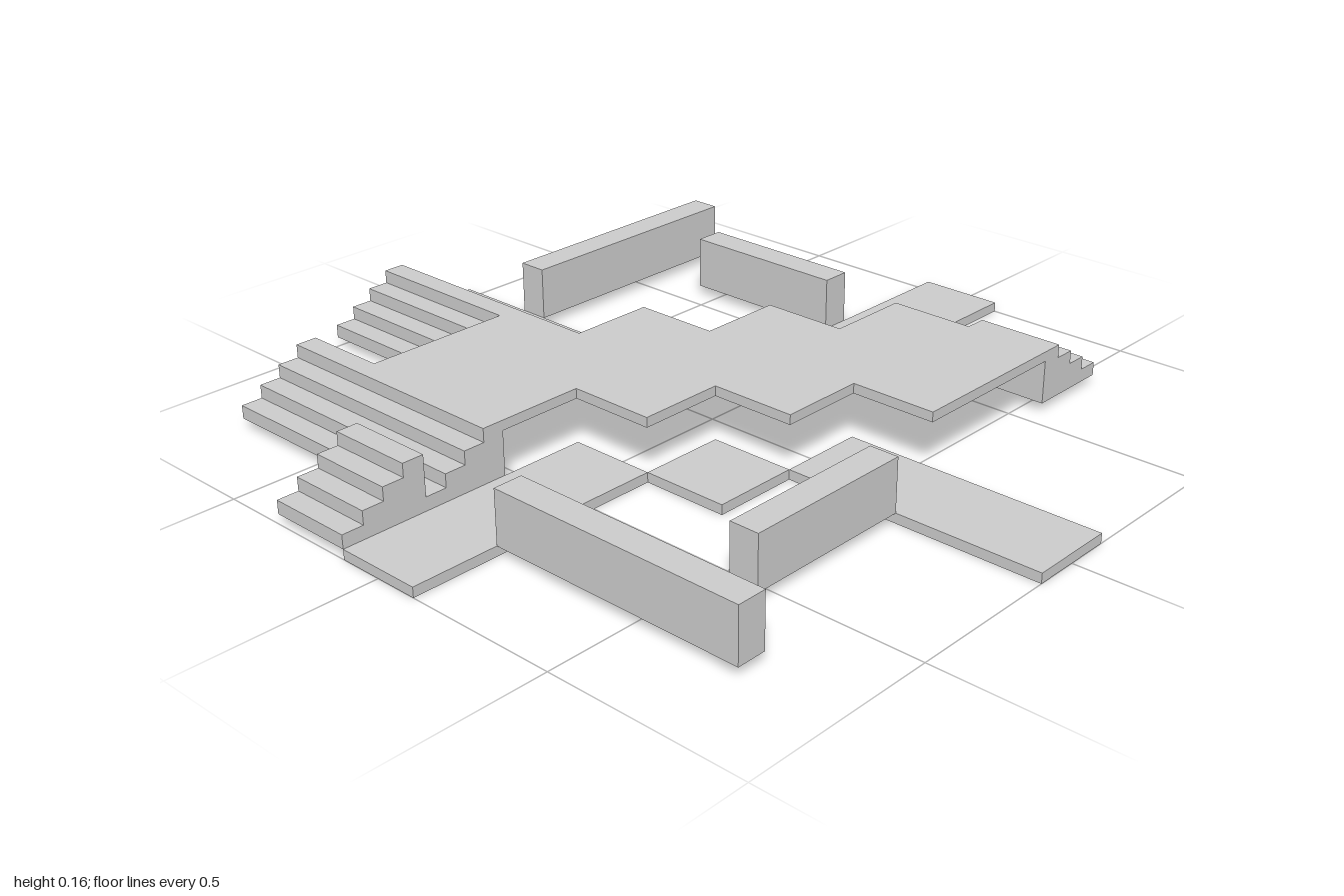
import * as THREE from 'three';

const U = 2 / 9;            // grid cell
const SLAB = 0.025;         // floor thickness
const TOP = 0.16;           // overall height
const WALL = 0.075;         // wall thickness

const material = new THREE.MeshStandardMaterial({ color: 0xcccccc, flatShading: true });
const shellMaterial = new THREE.MeshStandardMaterial({ color: 0xcccccc, flatShading: true, side: THREE.DoubleSide });

export function createModel() {
  const model = new THREE.Group();
  model.name = 'steppedPlatform';

  function add(name, geometry, mat = material) {
    const mesh = new THREE.Mesh(geometry, mat);
    mesh.name = name;
    model.add(mesh);
    return mesh;
  }

  function box(name, x0, x1, y0, y1, z0, z1) {
    add(name, new THREE.BoxGeometry(x1 - x0, y1 - y0, z1 - z0))
      .position.set((x0 + x1) / 2, (y0 + y1) / 2, (z0 + z1) / 2);
  }

  // Lower floor: four arms and two corner tiles, in cell units
  const floors = [
    ['leftFloorArm', 1.5, 4.5, -0.5, 0.5],
    ['rightFloorArm', -4.5, -1.5, -0.5, 0.5],
    ['frontFloorArm', -0.5, 0.5, 1.5, 4.5],
    ['backFloorArm', -0.5, 0.5, -4.5, -1.5],
    ['backCornerTile', 0.5, 1.5, -1.5, -0.5],
    ['frontCornerTile', -1.5, -0.5, 0.5, 1.5],
  ];
  for (const [name, x0, x1, z0, z1] of floors) box(name, x0 * U, x1 * U, 0, SLAB, z0 * U, z1 * U);

  // Raised diagonal platform with a zigzag outline (x, z in cells)
  const half = [[-2.5, -2.5], [-0.5, -2.5], [-0.5, -1.5], [0.5, -1.5], [0.5, -0.5], [1.5, -0.5], [1.5, 0.5], [2.5, 0.5]];
  const outline = [...half, ...half.map(([x, z]) => [-x, -z])];
  const shape = new THREE.Shape(outline.map(([x, z]) => new THREE.Vector2(x * U, -z * U)));
  const deck = new THREE.ExtrudeGeometry(shape, { depth: SLAB, bevelEnabled: false });
  deck.rotateX(-Math.PI / 2);
  deck.translate(0, TOP - SLAB, 0);
  add('raisedPlatform', deck);

  // Free-standing walls
  box('backWall', 0.5 * U, 3.5 * U, SLAB, TOP, -3.5 * U, -3.5 * U + WALL);
  box('leftWall', 2.5 * U, 2.5 * U + WALL, SLAB, TOP, -2.5 * U, -0.5 * U);
  box('rightWall', -3.5 * U, -3.5 * U + WALL, SLAB, TOP, 0.5 * U, 3.5 * U);
  box('frontWall', -2.5 * U, -0.5 * U, SLAB, TOP, 2.5 * U, 2.5 * U + WALL);

  // Four-step stair one cell wide, rising along x, open underneath
  function stair(name, xLow, xHigh, z0, z1) {
    const steps = 4, rise = (TOP - SLAB) / steps, run = (xHigh - xLow) / steps;
    const points = [new THREE.Vector2(xLow, SLAB)];
    for (let i = 0; i < steps; i++) {
      points.push(new THREE.Vector2(xLow + i * run, SLAB + (i + 1) * rise));
      points.push(new THREE.Vector2(xLow + (i + 1) * run, SLAB + (i + 1) * rise));
    }
    points.push(new THREE.Vector2(xHigh, SLAB));
    const solid = new THREE.ExtrudeGeometry(new THREE.Shape(points), { depth: z1 - z0, bevelEnabled: false });
    solid.translate(0, 0, z0);

    // Drop the triangles lying flat on the base
    const p = solid.toNonIndexed().attributes.position, kept = [];
    for (let i = 0; i < p.count; i += 3) {
      const onBase = [0, 1, 2].every((k) => Math.abs(p.getY(i + k) - SLAB) < 1e-5);
      if (!onBase) for (let k = 0; k < 3; k++) kept.push(p.getX(i + k), p.getY(i + k), p.getZ(i + k));
    }
    const shell = new THREE.BufferGeometry();
    shell.setAttribute('position', new THREE.Float32BufferAttribute(kept, 3));
    shell.computeVertexNormals();
    add(name, shell, shellMaterial);
  }
  stair('backStair', -1.5 * U, -0.5 * U, -4.5 * U, -2.5 * U);
  stair('middleStair', -3.5 * U, -2.5 * U, -3.5 * U, -0.5 * U);
  stair('rightStair', -4.5 * U, -3.5 * U, -1.5 * U, -0.5 * U);
  stair('frontStair', 3.5 * U, 2.5 * U, 1.5 * U, 2.5 * U);

  return model;
}
